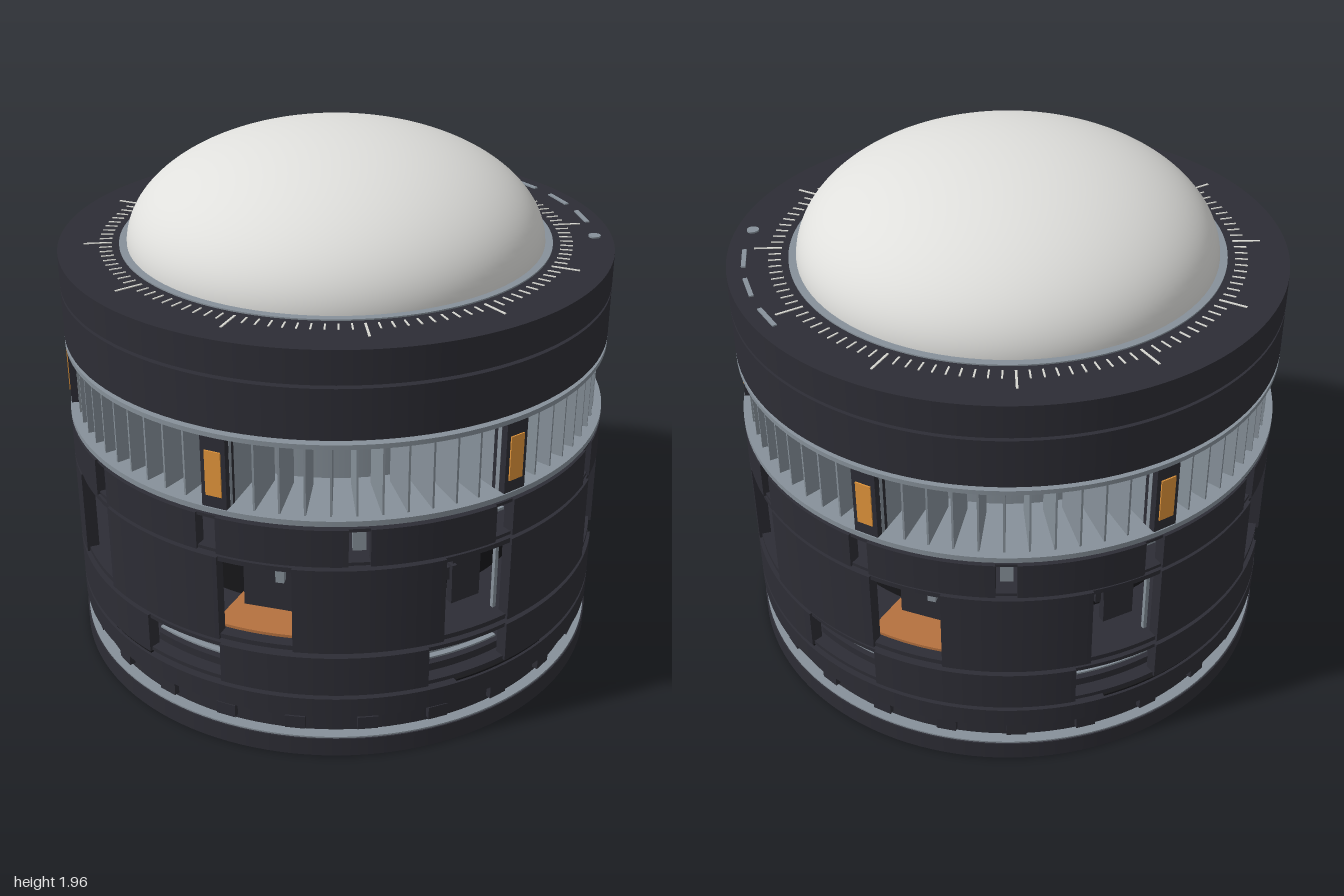
import * as THREE from 'three';

const mat = (name, color, side = THREE.FrontSide) => {
  const m = new THREE.MeshStandardMaterial({ color, side });
  m.name = name;
  return m;
};
const deg = Math.PI / 180;

export function createModel() {
  const root = new THREE.Group();
  root.name = 'layeredDevice';
  const shell = mat('charcoal', 0x2d2d35);
  const black = mat('black', 0x17171a);
  const steel = mat('steel', 0x87919a);
  const copper = mat('copper', 0xb5713f);
  const amber = mat('amber', 0xe0943a);
  const pearl = mat('pearl', 0xe0e0dd);
  const tickMat = mat('paleMark', 0xd6d6d0);

  const add = (name, geo, material, parent = root) => {
    const m = new THREE.Mesh(geo, material);
    m.name = name;
    parent.add(m);
    return m;
  };
  const disc = (name, r, y0, y1, material, parent = root) => {
    const m = add(name, new THREE.CylinderGeometry(r, r, y1 - y0, 128), material, parent);
    m.position.y = (y0 + y1) / 2;
    return m;
  };
  // Ring segment between two angles, measured from +z towards +x
  const arc = (name, rIn, rOut, y0, y1, a0, a1, material, parent = root) => {
    const s = new THREE.Shape();
    s.absarc(0, 0, rOut, (a0 - 90) * deg, (a1 - 90) * deg, false);
    s.absarc(0, 0, rIn, (a1 - 90) * deg, (a0 - 90) * deg, true);
    const steps = Math.max(4, Math.ceil((a1 - a0) / 2));
    const g = new THREE.ExtrudeGeometry(s, { depth: y1 - y0, bevelEnabled: false, curveSegments: steps });
    g.rotateX(-Math.PI / 2);
    const m = add(name, g, material, parent);
    m.position.y = y0;
    return m;
  };
  const ring = (name, rIn, rOut, y0, y1, material) => {
    const p = [[rIn, y0], [rOut, y0], [rOut, y0], [rOut, y1], [rOut, y1], [rIn, y1], [rIn, y1], [rIn, y0]];
    for (let i = 0; i < 8; i += 2) {
      const side = [p[i], p[i + 1]].map(q => new THREE.Vector2(...q));
      add(name, new THREE.LatheGeometry(side, 128), material);
    }
  };
  // Box placed at an angle and radius, its depth pointing outwards
  const radialBox = (name, w, h, d, angle, r, y, material, parent = root) => {
    const m = add(name, new THREE.BoxGeometry(w, h, d), material, parent);
    m.position.set(r * Math.sin(angle * deg), y, r * Math.cos(angle * deg));
    m.rotation.y = angle * deg;
    return m;
  };
  // Windowed drum: walls separated by openings that end at angle offset + k * pitch
  const drum = (name, y0, y1, count, gap, offset, cap) => {
    const g = new THREE.Group();
    g.name = name;
    root.add(g);
    const pitch = 360 / count;
    disc(name + 'Floor', 0.99, y0, y0 + cap, shell, g);
    disc(name + 'Ceiling', 0.99, y1 - cap, y1, shell, g);
    disc(name + 'Core', 0.75, y0 + cap, y1 - cap, black, g);
    for (let i = 0; i < count; i++) {
      const a = offset + i * pitch;
      arc(name + 'Wall', 0.955, 1, y0, y1, a, a + pitch - gap, shell, g);
    }
    return g;
  };

  // Base with a recessed band of feet and indicator lights
  disc('base', 1, 0, 0.072, shell);
  disc('baseUnderside', 0.87, -0.001, 0.004, black);
  disc('baseRim', 0.995, 0.072, 0.078, steel);
  disc('recessedBand', 0.955, 0.078, 0.168, shell);
  disc('baseTop', 1, 0.168, 0.243, shell);
  for (let i = 0; i < 24; i++) {
    const a = i * 15;
    radialBox('bandBlock', 0.072, 0.05, 0.03, a, 0.96, 0.118, shell);
    radialBox('bandLight', 0.024, 0.016, 0.008, a, 0.958, 0.153, i % 3 ? amber : steel);
  }
  for (let i = 0; i < 4; i++) arc('basePad', 0.9, 0.99, 0.243, 0.25, i * 90 - 11.5, i * 90 + 11.5, black);

  // Lower drum: six openings with stacked rails
  const lower = drum('lowerDrum', 0.26, 0.415, 6, 18, 30, 0.015);
  for (let i = 0; i < 6; i++) {
    const a = i * 60 + 21;
    arc('railShelf', 0.75, 0.92, 0.335, 0.342, a - 10, a + 10, steel, lower);
    arc('railShelf', 0.75, 0.93, 0.318, 0.325, a - 10, a + 10, steel, lower);
    arc('railBase', 0.75, 0.94, 0.275, 0.305, a - 10, a + 10, shell, lower);
    if (i % 2) arc('copperRail', 0.75, 0.9, 0.39, 0.397, a - 9, a + 9, copper, lower);
    else radialBox('railBlock', 0.12, 0.035, 0.08, a, 0.86, 0.362, steel, lower);
  }

  // Main drum: eight openings, alternately copper-lined and with equipment
  const main = drum('mainDrum', 0.435, 0.765, 8, 15, 0, 0.018);
  for (let i = 0; i < 4; i++) {
    const e = i * 90 - 7.5, c = i * 90 + 37.5;
    radialBox('equipmentPanel', 0.12, 0.24, 0.03, e + 3, 0.84, 0.59, shell, main);
    radialBox('equipmentRod', 0.014, 0.27, 0.014, e + 6.6, 0.94, 0.6, steel, main);
    radialBox('equipmentBar', 0.11, 0.012, 0.02, e + 3.5, 0.9, 0.695, steel, main);
    for (let k = 0; k < 3; k++) radialBox('equipmentFin', 0.02, 0.05, 0.1, e - 5 + k * 2, 0.82, 0.61, shell, main);
    arc('copperLining', 0.75, 0.95, 0.455, 0.466, c - 10, c + 10, copper, main);
    arc('copperLining', 0.75, 0.95, 0.732, 0.743, c - 10, c + 10, copper, main);
    radialBox('liningPanel', 0.2, 0.26, 0.03, c, 0.8, 0.6, shell, main);
    radialBox('liningPost', 0.03, 0.08, 0.03, c + 4, 0.9, 0.69, steel, main);
  }

  // Upper drum: twelve narrow slots
  const upper = drum('upperDrum', 0.78, 0.92, 12, 4.2, 0, 0.012);
  for (let i = 0; i < 12; i++) {
    const a = i * 30 - 2;
    if (i % 3 === 2) radialBox('slotPlate', 0.045, 0.085, 0.03, a, 0.95, 0.865, steel, upper);
    else if (i % 3 === 0) radialBox('slotBar', 0.07, 0.01, 0.02, a, 0.94, 0.863, steel, upper);
  }

  // Cooling section: plates, fins, copper pipes and six posts
  disc('coolingFloor', 1, 0.935, 0.955, steel);
  disc('coolingCeiling', 1, 1.217, 1.234, steel);
  disc('coolingCore', 0.72, 0.955, 1.217, steel);
  for (let i = 0; i < 72; i++) {
    radialBox('coolingFin', 0.007, 0.262, 0.21, i * 5 + 2.5, 0.865, 1.086, steel);
  }
  const pipe = (y, r, half, a) => {
    const g = new THREE.TorusGeometry(0.75, r, 10, half > 90 ? 128 : 24, 2 * half * deg);
    g.rotateX(Math.PI / 2);
    const m = add('copperPipe', g, copper);
    m.position.y = y;
    m.rotation.y = (a - 90 + half) * deg;
  };
  pipe(1.16, 0.017, 180, 0);
  for (let i = 0; i < 4; i++) {
    pipe(1.087, 0.017, 20, i * 90);
    pipe(1.02, 0.017, 8, i * 90);
    radialBox('copperColumn', 0.08, 0.26, 0.04, i * 90, 0.75, 1.086, copper);
  }
  for (let i = 0; i < 6; i++) {
    const a = i * 60 + 30;
    radialBox('post', 0.09, 0.262, 0.06, a, 0.965, 1.086, shell);
    radialBox('postLight', 0.058, 0.165, 0.008, a, 0.996, 1.083, amber);
  }

  // Head rings and dome
  disc('headLower', 1, 1.25, 1.43, shell);
  disc('headUpper', 1, 1.442, 1.562, shell);
  ring('domeCollar', 0.75, 0.782, 1.55, 1.567, steel);
  const dome = add('dome', new THREE.SphereGeometry(1, 96, 32, 0, Math.PI * 2, 0, Math.PI / 2), pearl);
  dome.scale.set(0.755, 0.4, 0.755);
  dome.position.y = 1.56;

  // Dial ticks and status marks on the head
  for (let i = 0; i < 120; i++) {
    const len = i % 10 === 0 ? 0.1 : 0.045;
    radialBox('dialTick', i % 10 ? 0.006 : 0.008, 0.004, len, i * 3, 0.808 + len / 2, 1.563, tickMat);
  }
  [180, 167, 154.5].forEach(a => radialBox('statusBar', 0.125, 0.006, 0.016, a, 0.938, 1.564, steel));
  const dot = disc('statusDot', 0.022, 1.561, 1.568, steel);
  dot.position.x = 0.58;
  dot.position.z = -0.735;

  return root;
}
